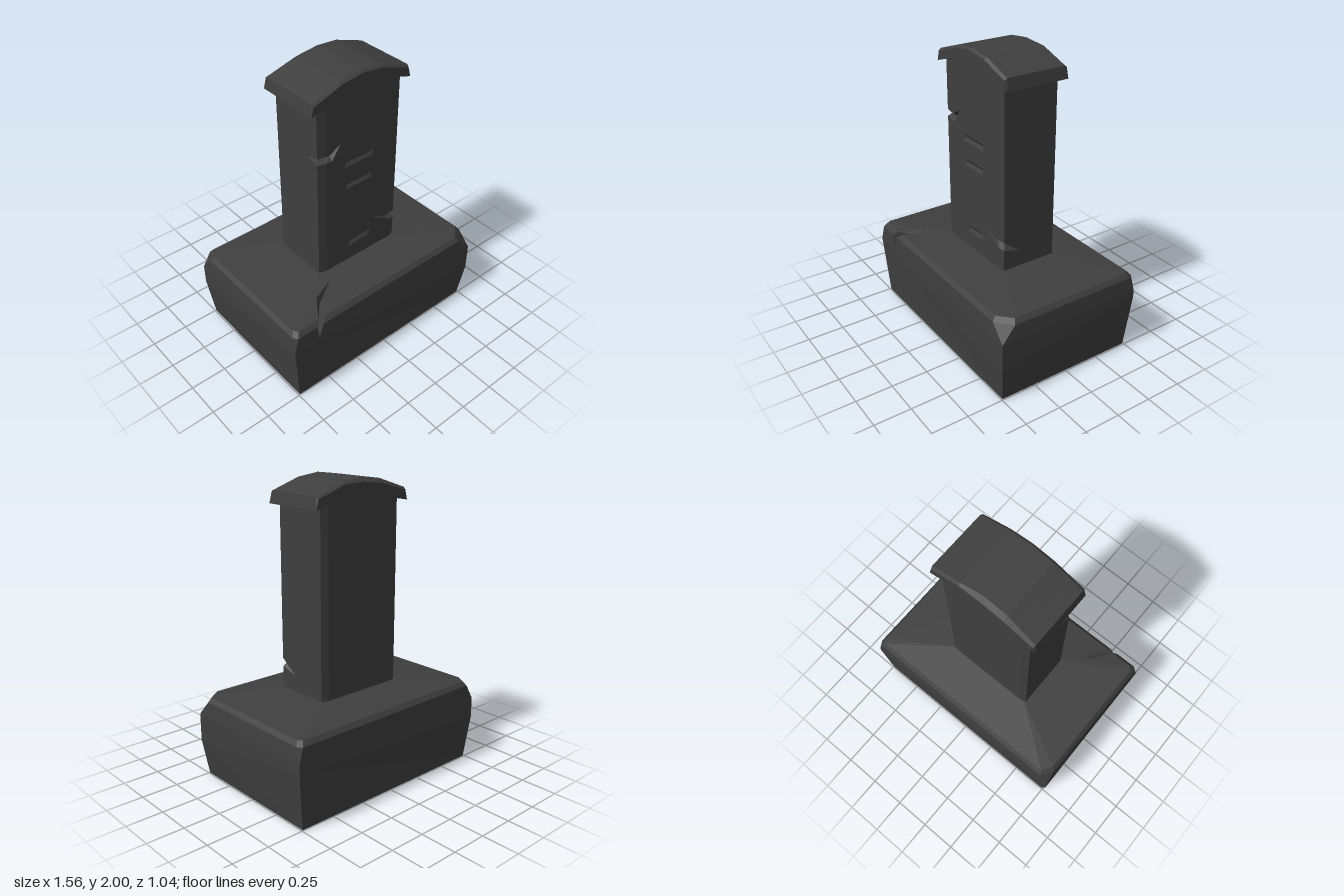
import * as THREE from 'three';

const stone = new THREE.MeshStandardMaterial({ color: 0x3f3f3f, side: THREE.DoubleSide });
stone.name = 'darkStone';
stone.flatShading = true;

const V = (p) => new THREE.Vector3(...p);

// Collects flat polygons (with optional holes) into one faceted mesh.
// Each facet faces away from ref (sign 1) or towards it (sign -1).
function facets(name) {
  const out = [];
  const poly = (pts, ref, sign = 1, holes = []) => {
    const n = new THREE.Vector3();
    pts.forEach((p, i) => n.add(V(p).cross(V(pts[(i + 1) % pts.length]))));
    const a = [Math.abs(n.x), Math.abs(n.y), Math.abs(n.z)];
    const drop = a.indexOf(Math.max(...a));
    const flat = (list) => list.map((p) => new THREE.Vector2(...p.filter((_, i) => i !== drop)));
    const all = pts.concat(...holes);
    for (const t of THREE.ShapeUtils.triangulateShape(flat(pts), holes.map(flat))) {
      const [p, q, r] = t.map((i) => V(all[i]));
      const m = q.clone().sub(p).cross(r.clone().sub(p));
      if (m.length() < 1e-9) continue;
      const mid = p.clone().add(q).add(r).divideScalar(3).sub(V(ref));
      const order = mid.dot(m) * sign > 0 ? [p, q, r] : [p, r, q];
      order.forEach((v) => out.push(v.x, v.y, v.z));
    }
  };
  // V-shaped cut between two edges and a sunken line
  const groove = (upper, bottom, lower, ref) => {
    for (const edge of [upper, lower]) {
      for (let i = 0; i < bottom.length - 1; i++) {
        poly([edge[i], edge[i + 1], bottom[i + 1]], ref, -1);
        poly([edge[i], bottom[i + 1], bottom[i]], ref, -1);
      }
    }
  };
  const mesh = () => {
    const g = new THREE.BufferGeometry();
    g.setAttribute('position', new THREE.Float32BufferAttribute(out, 3));
    g.computeVertexNormals();
    const m = new THREE.Mesh(g, stone);
    m.name = name;
    return m;
  };
  return { poly, groove, mesh };
}

// Hollow plinth with chipped corners and a crack in the front edge
function plinth() {
  const f = facets('plinth');
  const ref = [0, 0.3, 0];
  const chips = [[0.1, 0.09], [0.025, 0.03], [0.05, 0.08], [0.025, 0.03]];
  const ring = (hx, hz, ys, cut) => {
    const signs = [[1, 1], [-1, 1], [-1, -1], [1, -1]];
    return signs.flatMap(([sx, sz], k) => {
      const y = Array.isArray(ys) ? ys[k] : ys;
      const [cx, cz] = chips[k];
      const onSide = [sx * hx, y, sz * (hz - cz * cut)];
      const onFace = [sx * (hx - cx * cut), y, sz * hz];
      return k % 2 ? [onFace, onSide] : [onSide, onFace];
    });
  };
  const rings = [
    ring(0.742, 0.495, 0, 0),
    ring(0.78, 0.52, [0.25, 0.43, 0.3, 0.39], 0),
    ring(0.78, 0.52, 0.44, 0),
    ring(0.772, 0.515, 0.545, 1),
    ring(0.748, 0.49, 0.575, 0.9),
    ring(0.325, 0.205, 0.61, 0),
  ];
  const onTop = (x, z) => [x, 0.575 + 0.125 * (0.49 - z), z];
  const start = [-0.585, 0.455, 0.519], end = onTop(-0.31, 0.285);
  const left = [start, [-0.6, 0.545, 0.515], onTop(-0.57, 0.49), onTop(-0.475, 0.35), end];
  const right = [start, [-0.548, 0.545, 0.515], onTop(-0.515, 0.49), onTop(-0.43, 0.375), end];
  const bottom = [start, [-0.58, 0.475, 0.495], [-0.55, 0.5, 0.46], [-0.455, 0.545, 0.36], end];
  for (let b = 0; b < rings.length - 1; b++) {
    const lo = rings[b], up = rings[b + 1];
    for (let i = 0; i < 8; i++) {
      const j = (i + 1) % 8;
      if (i === 1 && b === 2) {
        f.poly([lo[1], lo[2], up[2], left[1], start, right[1], up[1]], ref);
      } else if (i === 1 && b === 3) {
        f.poly([lo[1], right[1], right[2], up[1]], ref);
        f.poly([lo[2], left[1], left[2], up[2]], ref);
      } else if (i === 1 && b === 4) {
        f.poly([lo[1], right[2], right[3], end, left[3], left[2], lo[2], up[2], up[1]], ref);
      } else {
        f.poly([lo[i], lo[j], up[j]], ref);
        f.poly([lo[i], up[j], up[i]], ref);
      }
    }
  }
  f.groove(left, bottom, right, [-0.5, 0.75, 0.6]);
  f.poly([0, 2, 4, 6].map((i) => rings[5][i]), ref);
  return f.mesh();
}

// Upright slab with chamfered edges, two edge cracks and etched bars
function slab() {
  const f = facets('slab');
  const ref = [0, 1.2, 0];
  const X = 0.325, F = 0.207, E = 0.195, y0 = 0.6, y1 = 1.86;
  const lx = -0.265, rx = 0.29;
  const tipL = [-0.15, 1.56, F], tipR = [0.11, 0.87, F];
  const sideL = [-X, 1.5, 0.1], sideR = [X, 0.72, 0.07];
  const upL = [sideL, [-X, 1.515, E], [lx, 1.511, F], [-0.24, 1.51, F], tipL];
  const loL = [sideL, [-X, 1.465, E], [lx, 1.463, F], [-0.22, 1.46, F], tipL];
  const upR = [sideR, [X, 0.81, E], [rx, 0.82, F], [0.25, 0.81, F], tipR];
  const loR = [sideR, [X, 0.755, E], [rx, 0.76, F], [0.26, 0.775, F], tipR];
  f.groove(upL, [sideL, [-0.28, 1.49, 0.15], [-0.25, 1.487, 0.16], [-0.22, 1.487, 0.175], tipL], loL, [-0.4, 1.49, 0.4]);
  f.groove(upR, [sideR, [0.29, 0.78, 0.16], [0.27, 0.785, 0.17], [0.245, 0.79, 0.18], tipR], loR, [0.4, 0.79, 0.4]);

  // etched bars: left, right, centre height, tilt
  const holes = [[-0.12, 0.11, 1.39, 0], [-0.11, 0.1, 1.222, 0.002], [-0.085, 0.1, 0.748, 0.006]].map(([a, b, y, t]) => {
    const h = [[a, y - t - 0.024, F], [b, y + t - 0.024, F], [b, y + t + 0.024, F], [a, y - t + 0.024, F]];
    const m = [[a + 0.02, y - t, F - 0.014], [b - 0.02, y + t, F - 0.014]];
    const eye = [(a + b) / 2, y, 1];
    f.poly([h[0], h[1], m[1], m[0]], eye, -1);
    f.poly([h[2], h[3], m[0], m[1]], eye, -1);
    f.poly([h[1], h[2], m[1]], eye, -1);
    f.poly([h[3], h[0], m[0]], eye, -1);
    return h;
  });
  // front face and its chamfers
  f.poly([[lx, y0, F], [rx, y0, F], loR[2], loR[3], tipR, upR[3], upR[2], [rx, y1, F], [0.15, 1.912, F],
    [0, 1.927, F], [-0.15, 1.912, F], [lx, y1, F], upL[2], upL[3], tipL, loL[3], loL[2]], ref, 1, holes);
  for (const [s, x, lo, up] of [[-1, lx, loL, upL], [1, rx, loR, upR]]) {
    f.poly([[s * X, y0, E], [x, y0, F], lo[2], lo[1]], ref);
    f.poly([[s * X, y1, E], [x, y1, F], up[2], up[1]], ref);
    // side face and back chamfer
    f.poly([[s * X, y0, E], lo[1], lo[0], up[1], [s * X, y1, E], [s * X, y1, -0.19], [s * X, y0, -0.19]], ref);
    f.poly([[s * X, y0, -0.19], [s * X, y1, -0.19], [s * 0.275, y1, -0.204], [s * 0.275, y0, -0.204]], ref);
  }
  const B = -0.204;
  f.poly([[-0.275, y0, B], [0.275, y0, B], [0.275, y1, B], [0.15, 1.912, B], [0, 1.927, B], [-0.15, 1.912, B], [-0.275, y1, B]], ref);
  return f.mesh();
}

// Arched cap with bevelled rims and small chips along the back
function cap() {
  const f = facets('archedCap');
  const top = [[-0.37, 1.91], [-0.16, 1.98], [0, 2], [0.16, 1.98], [0.37, 1.91]];
  const under = [[0.383, 1.83], [0.15, 1.905], [0, 1.92], [-0.15, 1.905], [-0.383, 1.83]];
  const section = (z, drop, chip) => [
    ...top.map(([x, y], i) => {
      const c = chip && (i === 1 || i === 2) ? 0.015 : 0;
      return [x * (1 - drop), y - drop - (drop ? c : 0), z + (drop ? 0 : c)];
    }),
    ...under.map(([x, y]) => [x, y, z]),
  ];
  const s = [section(0.225, 0.014), section(0.208, 0), section(-0.208, 0, true), section(-0.225, 0.014, true)];
  for (let k = 0; k < 3; k++) {
    for (let i = 0; i < 10; i++) {
      const j = (i + 1) % 10;
      const below = i >= 5 && i < 9;
      const ref = below ? [0, 0.5, 0] : [0, 1.6, 0];
      f.poly([s[k][i], s[k][j], s[k + 1][j]], ref, below ? -1 : 1);
      f.poly([s[k][i], s[k + 1][j], s[k + 1][i]], ref, below ? -1 : 1);
    }
  }
  f.poly(s[0], [0, 1.9, 0]);
  f.poly(s[3], [0, 1.9, 0]);
  return f.mesh();
}

export function createModel() {
  const group = new THREE.Group();
  group.name = 'gravestone';
  group.add(plinth(), slab(), cap());
  return group;
}
